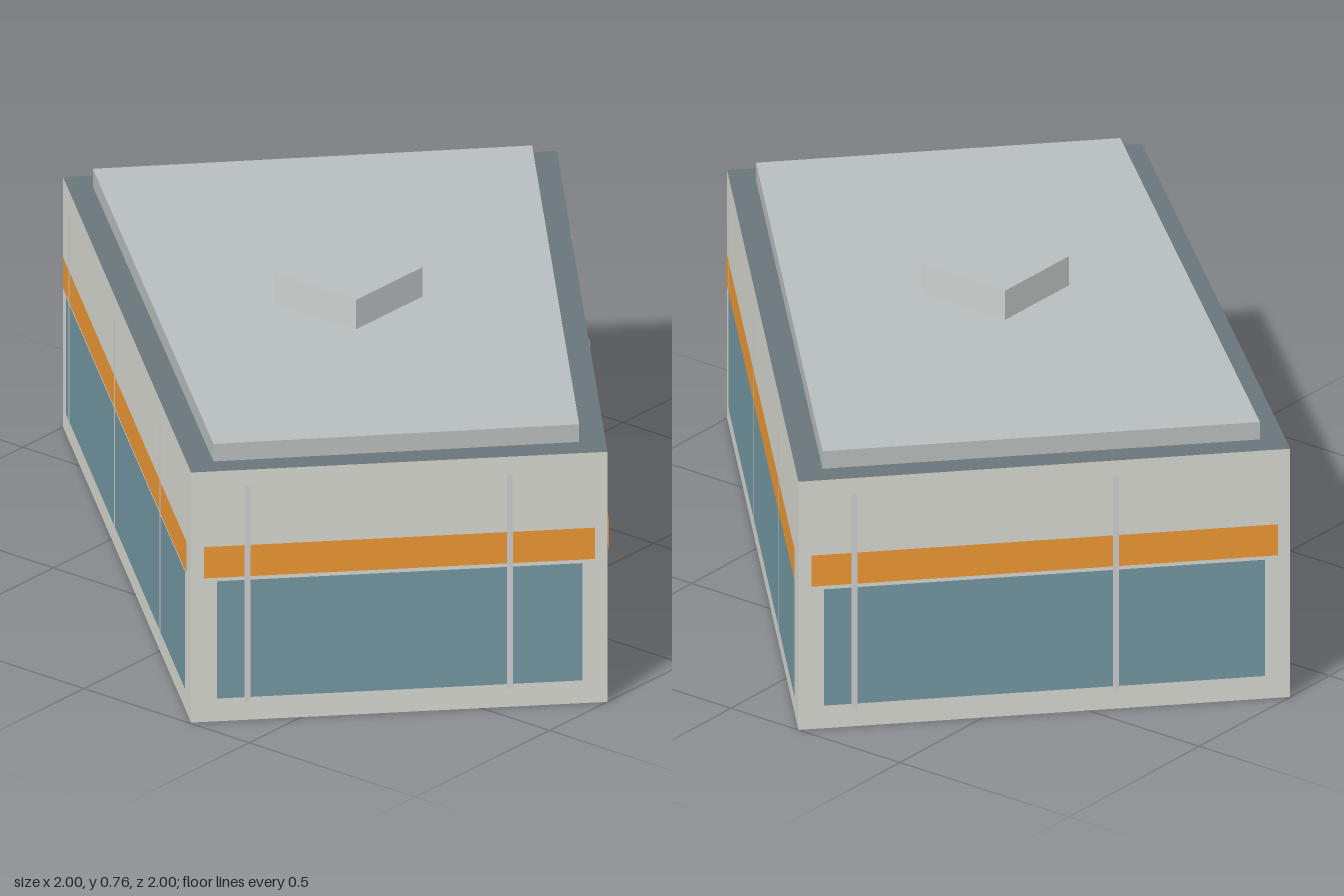
import * as THREE from 'three';

// Every surface is a thin sheet; the block is open underneath
const paint = (color) => new THREE.MeshStandardMaterial({ color, flatShading: true, side: THREE.DoubleSide });
const WALL = paint(0xd5d6ce), TRIM = paint(0x69757a), ROOF = paint(0xb7bdbc);
const GLASS = paint(0x7296a1), BAND = paint(0xeb9633), POST = paint(0xd3d5d1), UNIT = paint(0xcacfce);

// Plan corners [x, z], running so that each facade faces outward
const PLAN = [[-1, -0.15], [0.32, 0.995], [1, 0.285], [-0.2, -1]];
const DECK_PLAN = [[-0.912, -0.152], [0.32, 0.912], [0.912, 0.282], [-0.2, -0.908]];

// Horizontal sheet over a plan
function sheet(name, points, y, material) {
  const shape = new THREE.Shape(points.map(([x, z]) => new THREE.Vector2(x, -z)));
  const mesh = new THREE.Mesh(new THREE.ShapeGeometry(shape).rotateX(-Math.PI / 2), material);
  mesh.position.y = y;
  mesh.name = name;
  return mesh;
}

// Upright sheet: x0..x1 along a facade, y0..y1 up it, standing off by z
function panel(name, x0, x1, y0, y1, z, material) {
  const mesh = new THREE.Mesh(new THREE.PlaneGeometry(x1 - x0, y1 - y0), material);
  mesh.position.set((x0 + x1) / 2, (y0 + y1) / 2, z);
  mesh.name = name;
  return mesh;
}

// One group per plan edge, its own x along the edge and z outward
function alongEdges(name, plan, fill) {
  return plan.map(([ax, az], i) => {
    const [bx, bz] = plan[(i + 1) % plan.length];
    const group = new THREE.Group();
    group.name = name;
    group.position.set(ax, 0, az);
    group.rotation.y = Math.atan2(az - bz, bx - ax);
    fill(group, Math.hypot(bx - ax, bz - az));
    return group;
  });
}

export function createModel() {
  const model = new THREE.Group();
  model.name = 'building';

  // Facades: wall, window strip, colour band and evenly spaced posts
  model.add(...alongEdges('facade', PLAN, (group, length) => {
    group.add(panel('wall', 0, length, 0, 0.64, 0, WALL));
    group.add(panel('windowStrip', 0.06, length - 0.06, 0.06, 0.36, 0.004, GLASS));
    group.add(panel('colourBand', 0.03, length - 0.03, 0.37, 0.45, 0.006, BAND));
    for (let x = 0.132; x < length - 0.1; x += 0.62) {
      group.add(panel('post', x - 0.007, x + 0.007, 0.05, 0.6, 0.009, POST));
    }
  }));

  // Dark roof with a raised deck
  model.add(sheet('roof', PLAN, 0.64, TRIM));
  model.add(sheet('roofDeck', DECK_PLAN, 0.685, ROOF));
  model.add(...alongEdges('deckEdge', DECK_PLAN, (group, length) => {
    group.add(panel('deckSide', 0, length, 0.64, 0.685, 0, ROOF));
  }));

  // Rooftop unit with lighter sides
  const unit = new THREE.Mesh(
    new THREE.BoxGeometry(0.246, 0.075, 0.246),
    [UNIT, UNIT, ROOF, ROOF, UNIT, UNIT],
  );
  unit.position.set(0.034, 0.7225, 0.06);
  unit.name = 'rooftopUnit';
  model.add(unit);

  return model;
}
